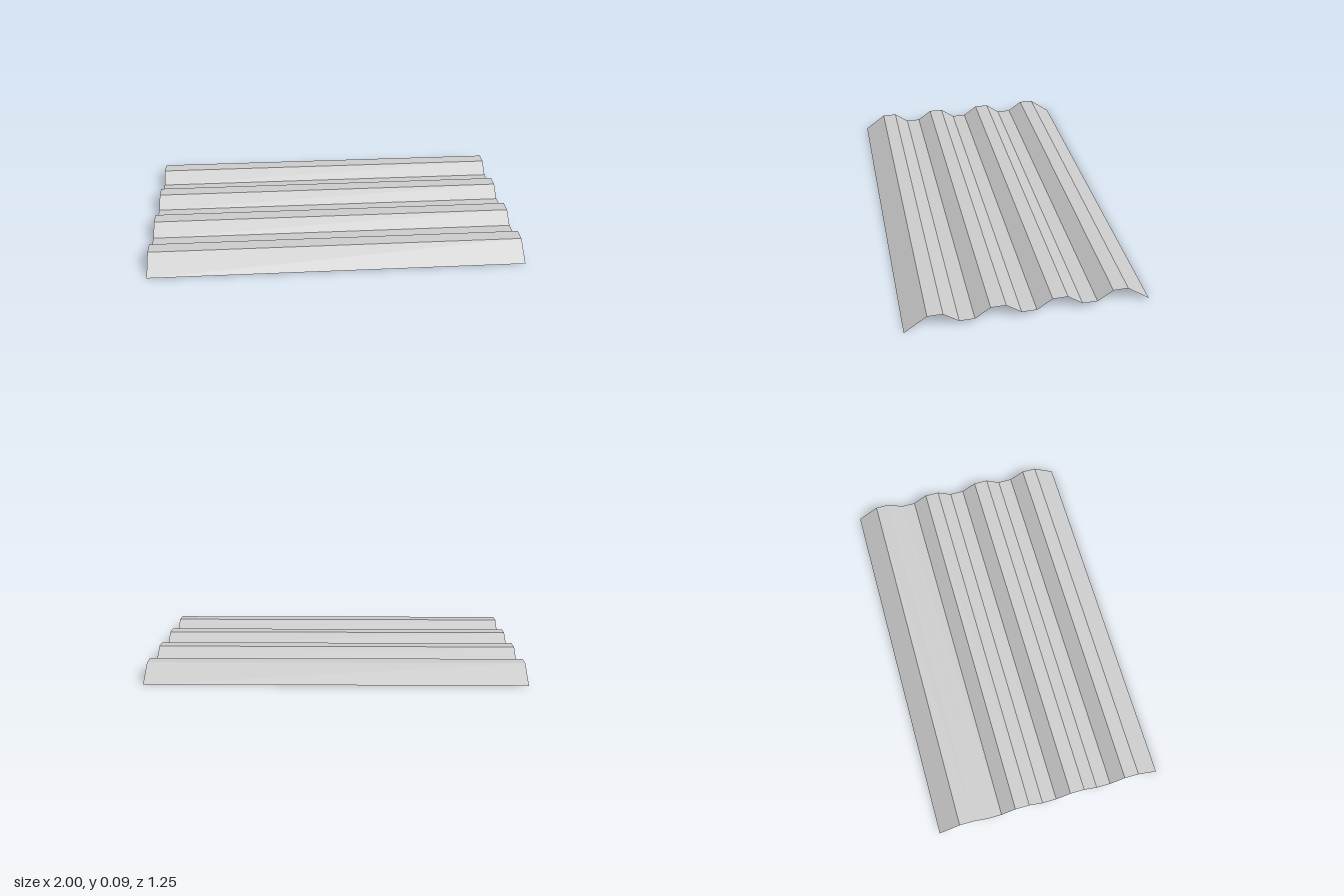
import * as THREE from 'three';

const HEIGHT = 0.086;   // crest height
const STEP = 0.0782;    // width of each inner strip
const EDGE = 0.117;     // width of the longer outer slopes
const VALLEY = HEIGHT * (1 - STEP / EDGE); // same slope as the outer strips

// Cross-section [z, y] from back to front: four crests, three raised valleys
function sheetProfile() {
  const half = 6.5 * STEP;
  const points = [[-half - EDGE, 0]];
  for (let i = 0; i < 14; i++) {
    points.push([-half + i * STEP, i % 4 < 2 ? HEIGHT : VALLEY]);
  }
  points.push([half + EDGE, 0]);
  return points;
}

export function createModel() {
  const model = new THREE.Group();
  model.name = 'corrugatedSheet';

  // Flat panel folded along the cross-section
  const profile = sheetProfile();
  const folded = new THREE.PlaneGeometry(2, 1, 1, profile.length - 1).rotateX(-Math.PI / 2);
  const position = folded.attributes.position;
  for (let i = 0; i < position.count; i++) {
    const [z, y] = profile[Math.floor(i / 2)];
    position.setY(i, y);
    position.setZ(i, z);
  }
  const geometry = folded.toNonIndexed();
  geometry.computeVertexNormals();

  const material = new THREE.MeshStandardMaterial({
    color: 0xcccccc, flatShading: true, side: THREE.DoubleSide,
  });
  const sheet = new THREE.Mesh(geometry, material);
  sheet.name = 'roofPanel';
  model.add(sheet);
  return model;
}
